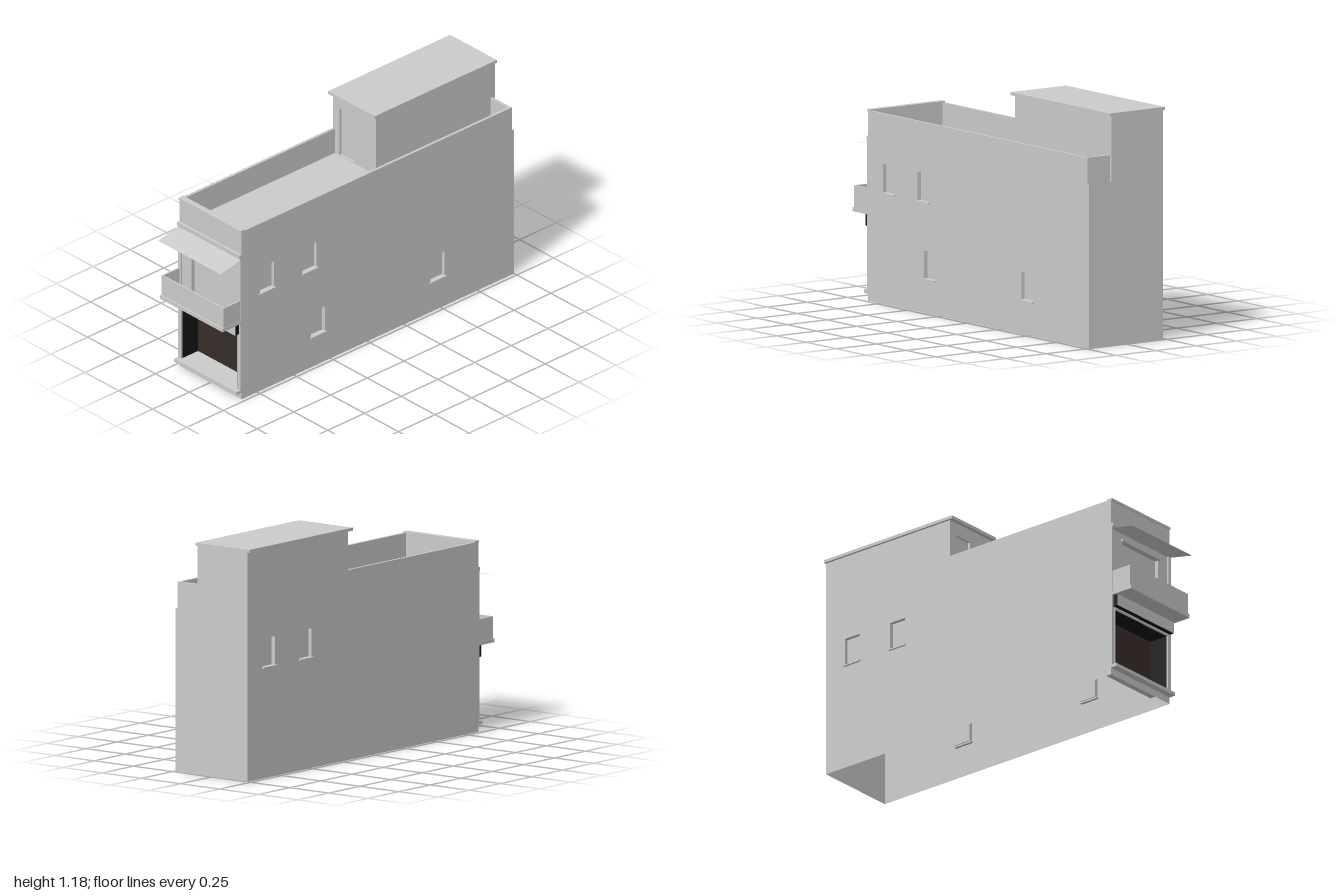
import * as THREE from 'three';

const grey = new THREE.MeshStandardMaterial({ color: 0xcccccc, side: THREE.DoubleSide });
const black = new THREE.MeshStandardMaterial({ color: 0x141414, side: THREE.DoubleSide });
const brown = new THREE.MeshStandardMaterial({ color: 0x372d2a, side: THREE.DoubleSide });

function add(parent, name, geometry, material = grey) {
  const mesh = new THREE.Mesh(geometry, material);
  mesh.name = name;
  parent.add(mesh);
  return mesh;
}

// Box given by its limits on each axis
function block(parent, name, [x0, x1], [y0, y1], [z0, z1], material) {
  const mesh = add(parent, name, new THREE.BoxGeometry(x1 - x0, y1 - y0, z1 - z0), material);
  mesh.position.set((x0 + x1) / 2, (y0 + y1) / 2, (z0 + z1) / 2);
  return mesh;
}

// Flat wall in local x/y facing +z; every opening [x0, x1, y0, y1] becomes a hole
function wall(parent, name, outline, openings = []) {
  const shape = new THREE.Shape(outline.map(([x, y]) => new THREE.Vector2(x, y)));
  for (const [x0, x1, y0, y1] of openings) {
    shape.holes.push(new THREE.Path([
      new THREE.Vector2(x0, y0), new THREE.Vector2(x0, y1),
      new THREE.Vector2(x1, y1), new THREE.Vector2(x1, y0)]));
  }
  return add(parent, name, new THREE.ShapeGeometry(shape));
}

// Open-fronted recess behind an opening
function recess(parent, name, [x0, x1, y0, y1], depth, materials) {
  const geometry = new THREE.BoxGeometry(x1 - x0, y1 - y0, depth);
  const index = Array.from(geometry.index.array);
  if (materials) geometry.groups = geometry.groups.filter(g => g.materialIndex !== 4);
  else geometry.clearGroups();
  if (!materials) geometry.setIndex(index.filter((_, i) => i < 24 || i >= 30));
  const mesh = add(parent, name, geometry, materials || grey);
  mesh.position.set((x0 + x1) / 2, (y0 + y1) / 2, -depth / 2);
  return mesh;
}

// Side wall with recessed windows and projecting sills
function sideWall(parent, name, outline, windows, side) {
  const group = new THREE.Group();
  group.name = name;
  group.position.x = side * 0.23;
  group.rotation.y = side * Math.PI / 2;
  parent.add(group);
  wall(group, 'wallFace', outline, windows);
  for (const w of windows) {
    recess(group, 'windowRecess', w, 0.02);
    block(group, 'windowSill', [w[0] - 0.006, w[1] + 0.006], [w[2] - 0.008, w[2]], [-0.015, 0.01]);
  }
}

export function createModel() {
  const model = new THREE.Group();
  model.name = 'townhouse';
  const front = 0.856, back = -0.998, deck = 0.825, top = 0.965, hutTop = 1.165;

  // Side walls: local x runs towards the back on the left side, to the front on the right
  sideWall(model, 'leftWall',
    [[-front, 0], [-back, 0], [-back, 0.83], [0.984, 0.83], [0.984, top], [-front, top]],
    [[-0.73, -0.635, 0.565, 0.71], [-0.44, -0.345, 0.565, 0.71],
      [-0.385, -0.29, 0.175, 0.315], [0.43, 0.527, 0.175, 0.315]], 1);
  sideWall(model, 'rightWall',
    [[back, 0], [front, 0], [front, top], [-0.19, top], [-0.19, hutTop], [back, hutTop]],
    [[-0.875, -0.78, 0.565, 0.71], [-0.58, -0.485, 0.565, 0.71]], -1);

  // Back wall, rising into the stair hut
  const backWall = wall(model, 'backWall',
    [[-0.09, 0], [0.23, 0], [0.23, hutTop], [-0.09, hutTop]]);
  backWall.geometry.dispose();
  backWall.geometry = new THREE.ShapeGeometry(new THREE.Shape([
    [-0.23, 0], [0.23, 0], [0.23, hutTop], [-0.09, hutTop], [-0.09, 0.83], [-0.23, 0.83],
  ].map(([x, y]) => new THREE.Vector2(x, y))));
  backWall.rotation.y = Math.PI;
  backWall.position.z = back;

  // Front wall with the shop opening and the balcony door
  const facade = new THREE.Group();
  facade.name = 'facade';
  facade.position.z = front;
  model.add(facade);
  const shop = [-0.205, 0.205, 0.054, 0.365], door = [-0.14, 0.14, 0.455, 0.76];
  wall(facade, 'frontWall', [[-0.23, 0], [0.23, 0], [0.23, 0.97], [-0.23, 0.97]], [shop, door]);
  recess(facade, 'shopInterior', shop, 0.105, [black, black, black, grey, grey, brown]);
  recess(facade, 'balconyDoor', door, 0.02);
  block(facade, 'doorLintel', [-0.15, 0.148], [0.76, 0.774], [0, 0.012]);
  block(facade, 'doorstep', [-0.23, 0.23], [0.036, 0.054], [-0.002, 0.035]);
  block(facade, 'shopFrameTop', [-0.21, 0.21], [0.365, 0.374], [0, 0.012]);
  block(facade, 'cornice', [-0.23, 0.23], [0.815, 0.835], [0, 0.015]);
  block(facade, 'corniceBand', [-0.21, 0.21], [0.805, 0.815], [0, 0.006]);
  block(facade, 'parapetCap', [-0.23, 0.23], [0.96, 0.972], [-0.026, 0.006]);
  for (const s of [-1, 1]) {
    block(facade, 'pilaster', [s * 0.22 - 0.01, s * 0.22 + 0.01], [0.054, 0.815], [0, 0.008]);
    block(facade, 'shopFrameSide', [s * 0.2075 - 0.0025, s * 0.2075 + 0.0025], [0.054, 0.365], [0, 0.01]);
  }

  // Sign board: dark box with a pale face
  block(facade, 'signBox', [-0.22, 0.22], [0.376, 0.437], [0.001, 0.034], black);
  block(facade, 'signFace', [-0.22, 0.22], [0.376, 0.437], [0.034, 0.036]);

  // Balcony
  block(facade, 'balconyFloor', [-0.23, 0.23], [0.437, 0.457], [0, 0.13]);
  block(facade, 'balconyFront', [-0.228, 0.228], [0.457, 0.57], [0.114, 0.122]);
  for (const s of [-1, 1]) {
    block(facade, 'balconySide', [s * 0.224 - 0.004, s * 0.224 + 0.004], [0.457, 0.57], [0, 0.114]);
  }

  // Thin sloping awning
  const run = 1 - front, drop = 0.03;
  const awning = add(facade, 'awning', new THREE.PlaneGeometry(0.46, Math.hypot(run, drop)));
  awning.rotation.x = -Math.PI / 2 + Math.atan2(drop, run);
  awning.position.set(0, 0.807 - drop / 2, run / 2);

  // Roof deck and parapets
  const roof = add(model, 'roofDeck', new THREE.PlaneGeometry(0.459, front - back - 0.002));
  roof.rotation.x = -Math.PI / 2;
  roof.position.set(0, deck, (front + back) / 2);
  block(model, 'frontParapet', [-0.229, 0.229], [deck, top], [0.832, front - 0.001]);
  block(model, 'leftParapet', [0.215, 0.2295], [deck, top], [-0.984, 0.832]);
  block(model, 'rightParapet', [-0.2295, -0.215], [deck, top], [-0.19, 0.832]);
  block(model, 'backParapet', [0.09, 0.215], [deck, top], [-0.984, -0.969]);

  // Stair hut on the roof
  const hut = new THREE.Group();
  hut.name = 'stairHut';
  hut.position.z = -0.19;
  model.add(hut);
  const hutDoor = [-0.18, -0.075, deck + 0.005, 1.094];
  wall(hut, 'hutFront', [[-0.23, deck], [0.09, deck], [0.09, hutTop], [-0.23, hutTop]], [hutDoor]);
  recess(hut, 'hutDoor', hutDoor, 0.012);
  const hutSide = wall(hut, 'hutSide', [[0, deck], [0.808, deck], [0.808, hutTop], [0, hutTop]]);
  hutSide.rotation.y = Math.PI / 2;
  hutSide.position.x = 0.09;
  block(hut, 'hutRoof', [-0.242, 0.102], [1.163, 1.179], [-0.81, 0.022]);

  return model;
}
